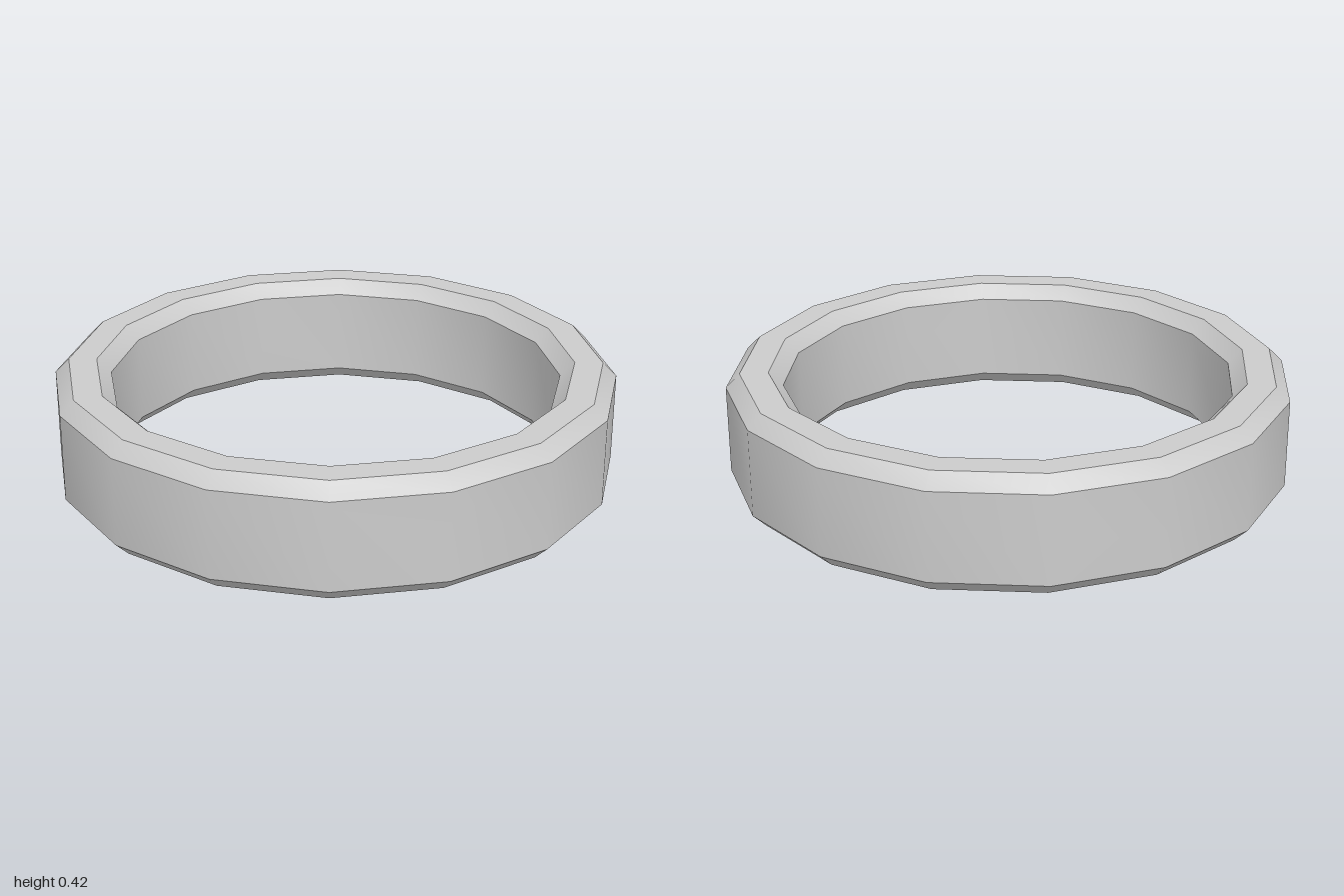
import * as THREE from 'three';
import { toCreasedNormals } from 'three/addons/utils/BufferGeometryUtils.js';

const SIDES = 16;
const OUTER = 1, INNER = 0.8, HEIGHT = 0.417, BEVEL = 0.05;

export function createModel() {
  const group = new THREE.Group();
  group.name = 'bevelledRing';

  // Closed cross-section: up the outer wall, across the top, down the inner wall
  const profile = [
    [INNER + BEVEL, 0],
    [OUTER - BEVEL, 0],
    [OUTER, BEVEL],
    [OUTER, HEIGHT - BEVEL],
    [OUTER - BEVEL, HEIGHT],
    [INNER + BEVEL, HEIGHT],
    [INNER, HEIGHT - BEVEL],
    [INNER, BEVEL],
    [INNER + BEVEL, 0],
  ].map(([r, y]) => new THREE.Vector2(r, y));

  // Smooth around the ring, sharp at the bevel edges
  const geometry = toCreasedNormals(new THREE.LatheGeometry(profile, SIDES), Math.PI / 6);
  const ring = new THREE.Mesh(geometry, new THREE.MeshStandardMaterial({ color: 0xcccccc }));
  ring.name = 'ring';
  group.add(ring);
  return group;
}
